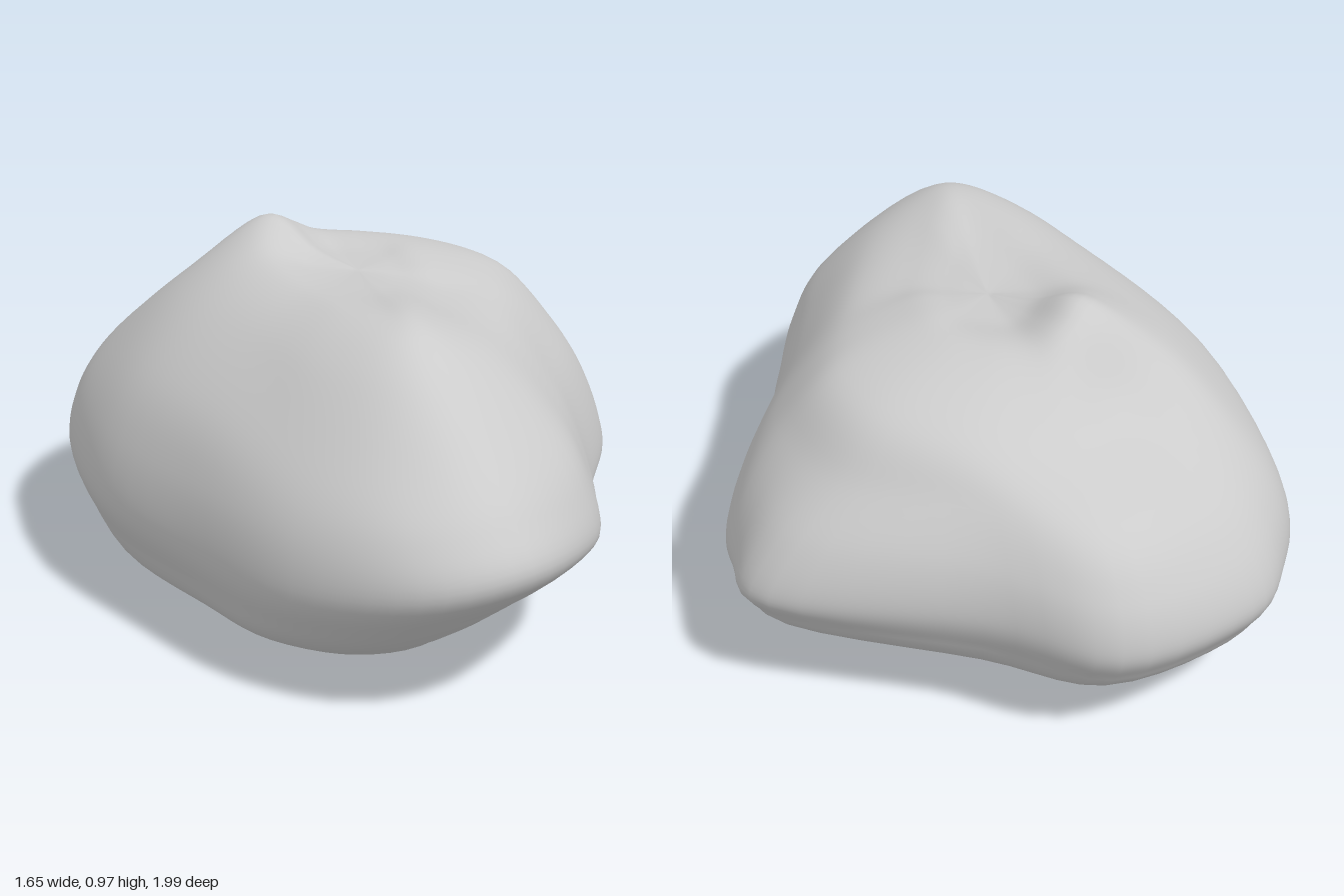
import * as THREE from 'three';
import { mergeVertices } from 'three/addons/utils/BufferGeometryUtils.js';

const AROUND = 80, DOWN = 72;

// Each ring runs from the +x tip round past the front: [x, y, z]
const ridge = [
  [.22, .885, -.15], [.19, .885, -.02], [.12, .87, .1], [.04, .85, .19],
  [-.08, .86, .29], [-.22, .895, .4], [-.32, .915, .44], [-.38, .91, .4],
  [-.39, .9, .25], [-.33, .89, .03], [-.26, .905, -.18], [-.18, .945, -.3],
  [-.1, .972, -.35], [0, .93, -.38], [.09, .89, -.36], [.17, .885, -.27],
];
const upper = [
  [.47, .79, -.2], [.45, .8, .01], [.34, .8, .15], [.18, .79, .3],
  [.02, .79, .44], [-.18, .81, .59], [-.38, .85, .61], [-.5, .84, .54],
  [-.55, .82, .32], [-.5, .82, .05], [-.43, .81, -.25], [-.31, .81, -.47],
  [-.2, .8, -.53], [-.04, .76, -.55], [.17, .74, -.57], [.36, .77, -.42],
];
const shoulder = [
  [.61, .64, -.2], [.58, .64, .07], [.47, .63, .24], [.25, .63, .42],
  [.07, .63, .59], [-.14, .63, .78], [-.44, .68, .81], [-.62, .65, .71],
  [-.7, .64, .45], [-.68, .66, .08], [-.6, .65, -.3], [-.42, .63, -.62],
  [-.27, .61, -.76], [-.06, .61, -.81], [.26, .62, -.8], [.44, .65, -.51],
];
const rim = [
  [.82, .36, -.15], [.75, .32, .1], [.61, .29, .3], [.31, .3, .52],
  [.13, .32, .69], [-.1, .36, .88], [-.46, .41, .995], [-.7, .38, .86],
  [-.81, .34, .52], [-.79, .33, .1], [-.73, .33, -.33], [-.53, .33, -.72],
  [-.33, .33, -.9], [-.1, .33, -.995], [.31, .35, -.93], [.5, .39, -.62],
];

const centre = [-.06, .875, -.02], bottom = [-.08, .025, .02];

// Halfway ring between two others, pushed outwards
const between = (a, b, push) => a.map(([x, y, z], i) => [
  push * (x + b[i][0]) / 2, (y + b[i][1]) / 2, push * (z + b[i][2]) / 2,
]);
// Smooth round bump on the ground plan
const bump = (x, z, cx, cz, spread) => Math.exp(-((x - cx) ** 2 + (z - cz) ** 2) / spread);

// Gentle crown inside the ridge
const crown = ridge.map((p) => p.map((v, k) => centre[k] + [.45, .3, .45][k] * (v - centre[k])));

// Underside rings: the rim drawn in, with a hollow at the front and one low foot
const hollow = (x, z) => .08 * bump(x, z, .1, .42, .08);
const lower = rim.map(([x, , z]) => {
  const lx = x * .87, lz = z * (z > 0 ? .7 + .1 * x : .87);
  return [lx, .155 + .07 * lx + hollow(lx, lz), lz];
});
const base = lower.map(([x, , z]) => {
  const bx = x * .65 - .02, bz = z * .68;
  const y = .04 - .04 * bump(bx, bz, -.3, .31, .06) + .06 * Math.max(0, -bz);
  return [bx, y + .12 * Math.max(0, bx - .3) + hollow(bx, bz), bz];
});

const cheek = between(shoulder, rim, 1.04);
const chin = between(rim, lower, 1.03);

const point = (p) => new THREE.Vector3(...p);
const smooth = (pts, closed) => new THREE.CatmullRomCurve3(pts, closed, 'catmullrom', .5);

function rockGeometry() {
  const rings = [crown, ridge, upper, shoulder, cheek, rim, chin, lower, base]
    .map((r) => smooth(r.map(point), true));

  // Meridians from the top centre to the bottom centre
  const positions = [], index = [];
  for (let j = 0; j < AROUND; j++) {
    const stops = rings.map((r) => r.getPoint(j / AROUND));
    const meridian = smooth([point(centre), ...stops, point(bottom)], false);
    for (let i = 0; i <= DOWN; i++) positions.push(...meridian.getPoint(i / DOWN).toArray());
  }
  for (let j = 0; j < AROUND; j++) {
    for (let i = 0; i < DOWN; i++) {
      const a = j * (DOWN + 1) + i, c = ((j + 1) % AROUND) * (DOWN + 1) + i;
      if (i > 0) index.push(a, c, a + 1);
      if (i < DOWN - 1) index.push(c, c + 1, a + 1);
    }
  }
  const grid = new THREE.BufferGeometry();
  grid.setAttribute('position', new THREE.Float32BufferAttribute(positions, 3));
  grid.setIndex(index);
  const geometry = mergeVertices(grid, 1e-5);
  geometry.computeVertexNormals();
  return geometry;
}

export function createModel() {
  const group = new THREE.Group();
  group.name = 'boulder';
  const rock = new THREE.Mesh(rockGeometry(), new THREE.MeshStandardMaterial({ color: 0xcccccc }));
  rock.name = 'rock';
  group.add(rock);
  return group;
}
